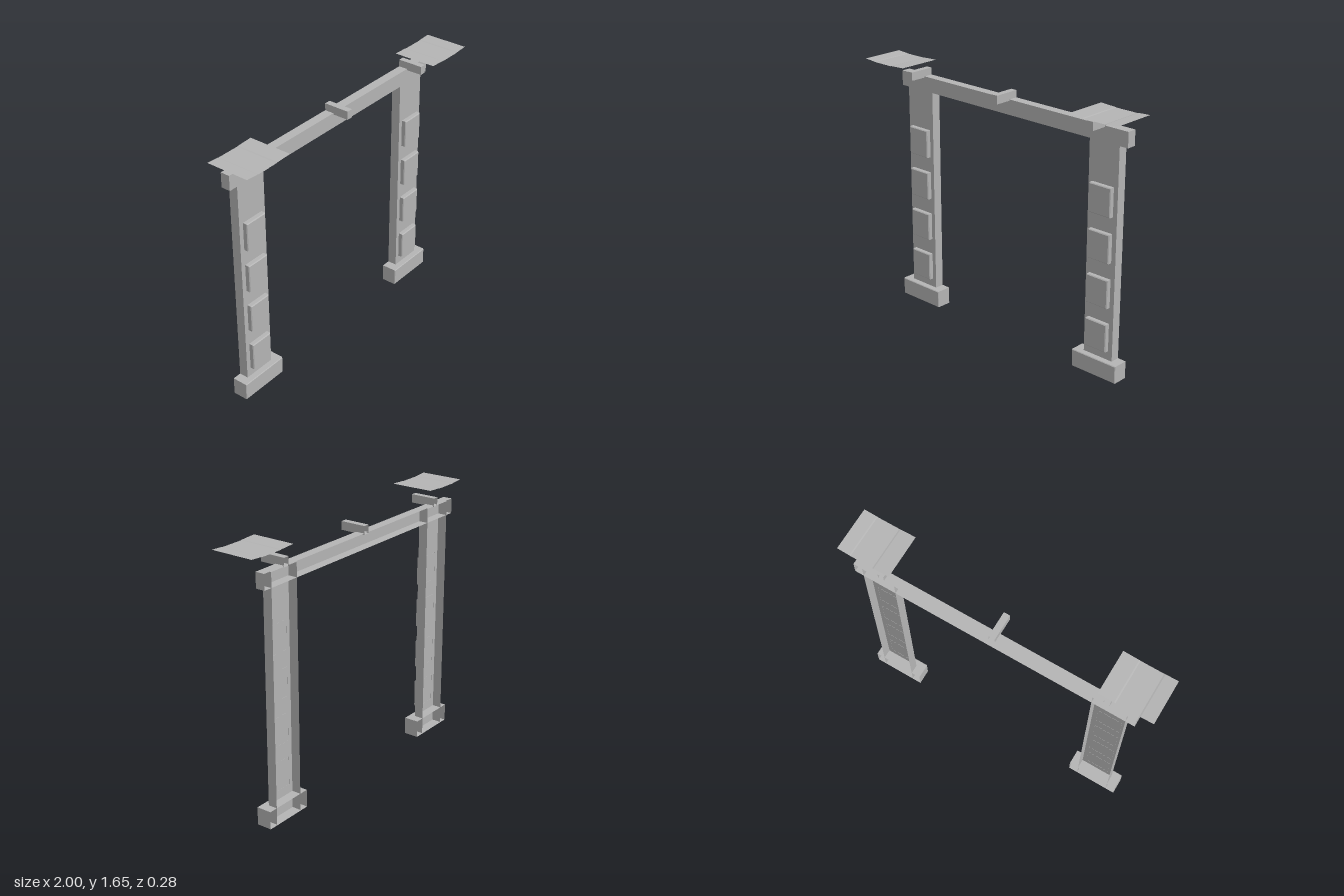
import * as THREE from 'three';

const BACK = -0.14; // every shell is open along this plane

export function createModel() {
  const grey = new THREE.MeshStandardMaterial({ color: 0xb4b4b4 });
  grey.name = 'stone grey';
  grey.side = THREE.DoubleSide;
  grey.flatShading = true;

  const model = new THREE.Group();
  model.name = 'gateway';

  // Box without its back face; the front edges can be chamfered
  function shell(name, parent, x0, x1, y0, y1, z0, z1, bevel = 0) {
    const w = x1 - x0, h = y1 - y0, d = z1 - z0;
    const geo = new THREE.BoxGeometry(w, h, d, 1, 1, bevel ? 2 : 1);
    const p = geo.attributes.position;
    if (bevel) {
      for (let i = 0; i < p.count; i++) {
        const z = p.getZ(i);
        if (Math.abs(z) < 1e-6) p.setZ(i, d / 2 - bevel);
        else if (z > 0) {
          p.setX(i, p.getX(i) - Math.sign(p.getX(i)) * bevel);
          p.setY(i, p.getY(i) - Math.sign(p.getY(i)) * bevel);
        }
      }
    }
    geo.setIndex(Array.from(geo.index.array).slice(0, -6));
    geo.clearGroups();
    geo.computeVertexNormals();
    const mesh = new THREE.Mesh(geo, grey);
    mesh.name = name;
    mesh.position.set((x0 + x1) / 2, (y0 + y1) / 2, (z0 + z1) / 2);
    parent.add(mesh);
  }

  // Thin shallow dish, swept along z from its profile
  function canopy(parent, side) {
    const profile = [[0.66, 1.648], [0.76, 1.643], [0.768, 1.641],
      [0.912, 1.641], [0.92, 1.643], [1.0, 1.648]];
    const pos = [], idx = [];
    profile.forEach(([x, y], i) => {
      pos.push(side * x, y, -0.14, side * x, y, 0.14);
      if (i) {
        const a = 2 * i - 2;
        if (side > 0) idx.push(a, a + 1, a + 2, a + 1, a + 3, a + 2);
        else idx.push(a, a + 2, a + 1, a + 1, a + 2, a + 3);
      }
    });
    const geo = new THREE.BufferGeometry();
    geo.setAttribute('position', new THREE.Float32BufferAttribute(pos, 3));
    geo.setIndex(idx);
    geo.computeVertexNormals();
    const mesh = new THREE.Mesh(geo, grey);
    mesh.name = 'canopy';
    parent.add(mesh);
  }

  // Lintel and its middle bracket
  shell('lintel', model, -0.905, 0.905, 1.45, 1.545, BACK, -0.08);
  shell('middleBracket', model, -0.02, 0.02, 1.537, 1.59, BACK, 0.025);

  // Mirrored posts
  for (const side of [1, -1]) {
    const post = new THREE.Group();
    post.name = side > 0 ? 'leftPost' : 'rightPost';
    model.add(post);
    const add = (name, a, b, ...rest) =>
      shell(name, post, Math.min(side * a, side * b), Math.max(side * a, side * b), ...rest);

    add('base', 0.575, 0.905, 0, 0.112, BACK, -0.04, 0.004);
    add('shaft', 0.635, 0.848, 0.004, 1.54, BACK, -0.08);
    add('bracket', 0.702, 0.74, 1.537, 1.59, BACK, 0.025);
    for (let i = 0; i < 4; i++) {
      const y = 0.26 + i * 0.2835;
      add('panel', 0.663, 0.818, y - 0.09, y + 0.09, -0.081, -0.05, 0.005);
    }
    canopy(post, side);
  }
  return model;
}
